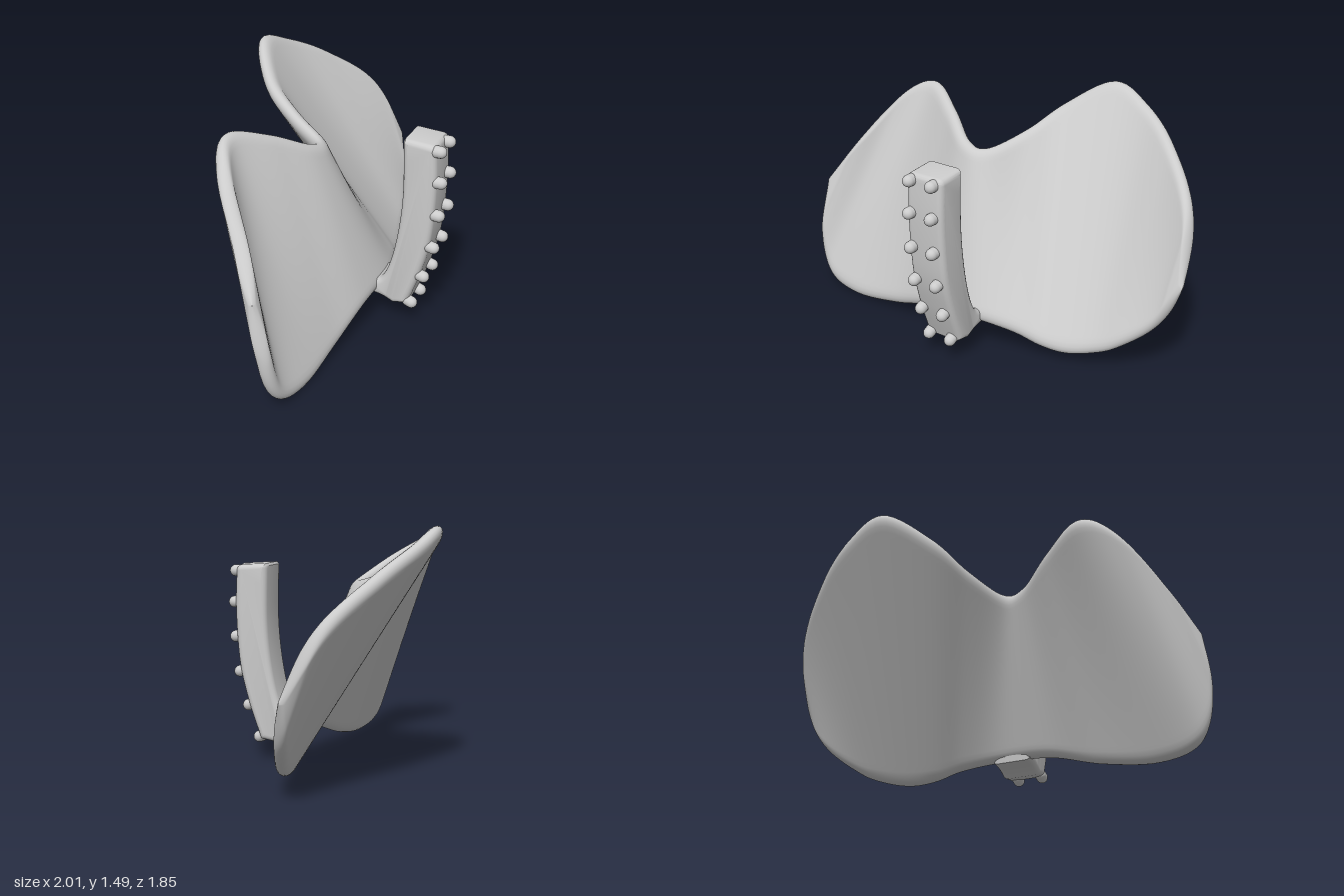
import * as THREE from 'three';
import { mergeVertices, toCreasedNormals } from 'three/addons/utils/BufferGeometryUtils.js';

const material = new THREE.MeshStandardMaterial({ color: 0xcccccc });

// Upper and lower rims of the two-lobed blade, paired station by station
const upperRim = [
  [-1, 0.7, 0.84], [-0.95, 1.0, 0.6], [-0.9, 1.28, 0.32], [-0.78, 1.37, 0.15], [-0.5, 1.28, 0.12],
  [-0.25, 1.16, 0.11], [-0.14, 1.13, 0.02], [-0.17, 1.21, -0.25], [-0.19, 1.34, -0.5], [-0.08, 1.49, -0.78],
  [0.15, 1.41, -0.89], [0.45, 1.26, -0.92], [0.8, 1.0, -0.88], [0.99, 0.6, -0.76],
];
const lowerRim = [
  [-1, 0.7, 0.84], [-0.97, 0.35, 0.91], [-0.88, 0.08, 0.88], [-0.65, 0.01, 0.76], [-0.35, 0.06, 0.57],
  [-0.05, 0.165, 0.41], [0.22, 0.19, 0.24], [0.4, 0.15, 0.04], [0.5, 0.09, -0.09], [0.6, 0.07, -0.21],
  [0.7, 0.1, -0.34], [0.8, 0.17, -0.46], [0.92, 0.34, -0.64], [0.99, 0.6, -0.76],
];
const rail = (pts) =>
  new THREE.CatmullRomCurve3(pts.map((p) => new THREE.Vector3(...p)), false, 'catmullrom', 0.5);

// Thin curved blade: rounded cross-sections lofted between the rims
function bladeGeometry() {
  const top = rail(upperRim), bottom = rail(lowerRim);
  const m = 140, n = 32, ring = 2 * n;
  const halfThickness = 0.043, edgeRadius = 0.07;
  const positions = [], index = [];
  const along = (u, v) => bottom.getPoint(u).lerp(top.getPoint(u), v);
  for (let i = 0; i <= m; i++) {
    const u = THREE.MathUtils.clamp((1 - Math.cos((Math.PI * i) / m)) / 2, 1e-4, 1 - 1e-4);
    const chord = top.getPoint(u).sub(bottom.getPoint(u));
    const length = chord.length();
    const h = halfThickness * Math.min(1, Math.sqrt(length / 0.5));
    for (let j = 0; j < ring; j++) {
      const k = j <= n ? j : ring - j;
      const side = j <= n ? 1 : -1;
      const v = (1 - Math.cos((Math.PI * k) / n)) / 2;
      const w = 0.2 + 0.6 * v;
      const across = along(Math.min(1, u + 0.004), w).sub(along(Math.max(0, u - 0.004), w));
      const normal = across.cross(chord).normalize();
      const edge = Math.min(1, (Math.min(v, 1 - v) * length) / edgeRadius);
      const bulge = side * h * Math.sqrt(Math.max(0, 1 - (1 - edge) ** 2));
      positions.push(...along(u, v).addScaledVector(normal, bulge).toArray());
    }
  }
  for (let i = 0; i < m; i++) {
    for (let j = 0; j < ring; j++) {
      const a = i * ring + j, b = i * ring + ((j + 1) % ring);
      index.push(a, a + ring, b, b, a + ring, b + ring);
    }
  }
  const geometry = new THREE.BufferGeometry();
  geometry.setAttribute('position', new THREE.Float32BufferAttribute(positions, 3));
  geometry.setIndex(index);
  geometry.computeVertexNormals();
  return geometry;
}

// Curved upright bar with its foot: side profile extruded across its width
function barGeometry() {
  const v2 = (pts) => pts.map((p) => new THREE.Vector2(...p));
  const shape = new THREE.Shape();
  shape.moveTo(0.49, 1.235);
  shape.lineTo(0.65, 1.225);
  shape.quadraticCurveTo(0.68, 1.22, 0.682, 1.19);
  shape.splineThru(v2([[0.69, 0.95], [0.668, 0.62], [0.61, 0.37], [0.53, 0.14]]));
  shape.lineTo(0.44, 0.125);
  shape.splineThru(v2([[0.37, 0.155], [0.28, 0.17]]));
  shape.lineTo(0.27, 0.26);
  shape.splineThru(v2([[0.36, 0.285], [0.42, 0.42], [0.465, 0.65], [0.485, 0.9], [0.48, 1.22]]));
  const width = 0.25, bevel = 0.035;
  let geometry = new THREE.ExtrudeGeometry(shape, {
    depth: width - 2 * bevel, curveSegments: 10,
    bevelSize: bevel, bevelThickness: bevel, bevelOffset: -bevel, bevelSegments: 4,
  });
  geometry.translate(0, 0, -width / 2 + bevel);
  geometry.rotateY(-Math.PI / 2);
  geometry.deleteAttribute('uv');
  geometry.deleteAttribute('normal');
  geometry = mergeVertices(geometry, 1e-4);
  return toCreasedNormals(geometry, 0.6);
}

export function createModel() {
  const model = new THREE.Group();
  const add = (parent, geometry, name) => {
    const mesh = new THREE.Mesh(geometry, material);
    mesh.name = name;
    parent.add(mesh);
    return mesh;
  };

  add(model, bladeGeometry(), 'blade');

  // Bar assembly, turned to face outward from the neck of the blade
  const handle = new THREE.Group();
  handle.name = 'handle';
  handle.rotation.y = 0.62;
  model.add(handle);
  add(handle, barGeometry(), 'bar').position.x = -0.02;

  // Two columns of round-ended studs on the bar's outer face: height, distance out, tilt
  const rows = [
    [1.185, 0.69, 0], [0.99, 0.7, 0], [0.775, 0.695, 0.08],
    [0.557, 0.67, 0.2], [0.347, 0.615, 0.3], [0.15, 0.545, 0.38],
  ];
  const studGeometry = new THREE.CapsuleGeometry(0.036, 0.025, 6, 16).rotateX(Math.PI / 2);
  for (const [y, out, tilt] of rows) {
    for (const side of [-1, 1]) {
      const stud = add(handle, studGeometry, 'stud');
      stud.position.set(-0.032 + side * 0.078, y, out);
      stud.rotation.x = tilt;
    }
  }
  return model;
}
